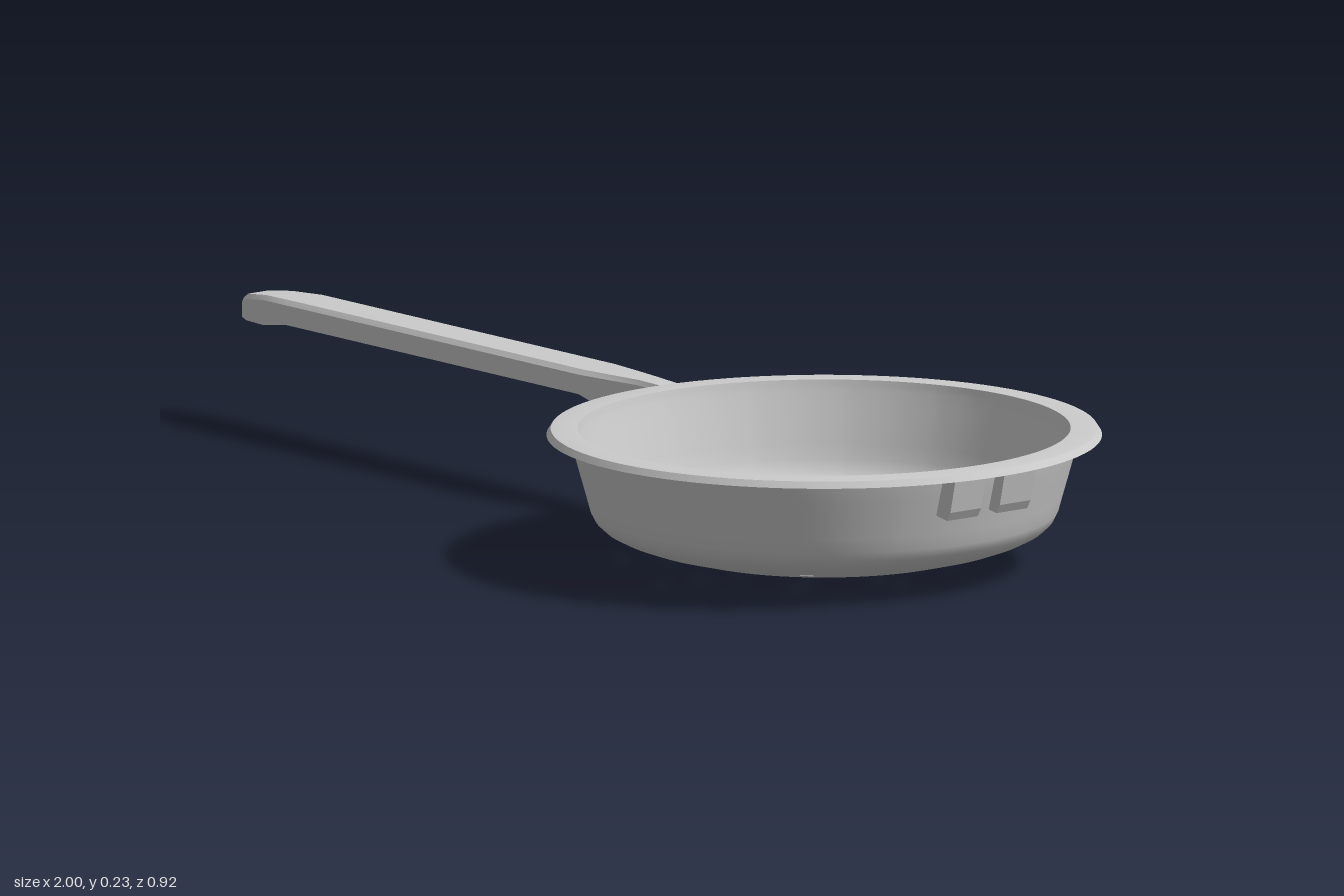
import * as THREE from 'three';
import { toCreasedNormals, mergeVertices } from 'three/addons/utils/BufferGeometryUtils.js';

const grey = new THREE.MeshStandardMaterial({ color: 0xcccccc, side: THREE.DoubleSide });

function addMesh(parent, name, geometry) {
  const mesh = new THREE.Mesh(geometry, grey);
  mesh.name = name;
  parent.add(mesh);
  return mesh;
}

function geometryFrom(positions, index) {
  const g = new THREE.BufferGeometry();
  g.setAttribute('position', new THREE.Float32BufferAttribute(positions, 3));
  g.setIndex(index);
  g.computeVertexNormals();
  return g;
}

// Bowl rows from the centre outwards: outer radius, outer y, inner radius, inner y
const FLOOR = [[0, 0], [0.04, 0.001], [0.075, 0.003], [0.1, 0.005], [0.145, 0.009], [0.185, 0.014],
  [0.215, 0.019], [0.255, 0.027], [0.285, 0.035], [0.315, 0.043]];
const WALL = [[0.345, 0.054], [0.366, 0.065], [0.38, 0.078], [0.388, 0.094], [0.395, 0.12],
  [0.404, 0.152], [0.413, 0.185], [0.42, 0.21], [0.422, 0.222]];
const ROWS = [
  ...FLOOR.map(([r, y]) => [r, y, r, y + 0.012]),
  ...WALL.map(([r, y], i) => [r, y, r - Math.min(0.015, 0.005 + i * 0.005), y + Math.max(0.003, 0.012 - i * 0.001)]),
];
const TICK_ROW = 2;
const SLOT_ROWS = [4, 6, 8];
const SPOKES = 16;
const FILL = 4; // columns between one slot direction and the next

// Each direction owns a narrow column of constant width, which can be left open
function columnAngle(radius, spoke, column) {
  const halfWidth = radius < 0.12 ? 0.007 : 0.011;
  const step = (Math.PI * 2) / SPOKES;
  const d = radius > 0 ? Math.min(Math.asin(Math.min(1, halfWidth / radius)), 0.12) : 0.1;
  if (column === 0) return spoke * step - d;
  return spoke * step + d + ((column - 1) / FILL) * (step - 2 * d);
}

function isOpen(row, spoke, column) {
  if (column !== 0) return false;
  return row === TICK_ROW || (spoke % 2 === 0 && SLOT_ROWS.includes(row));
}

function buildBowl(parent) {
  const perSpoke = FILL + 1;
  const cols = SPOKES * perSpoke;
  const inner = [], outer = [], innerIdx = [], outerIdx = [], wallPos = [], wallIdx = [];
  for (const [ro, yo, ri, yi] of ROWS) {
    for (let j = 0; j < cols; j++) {
      const a = columnAngle(ro, Math.floor(j / perSpoke), j % perSpoke);
      outer.push(ro * Math.cos(a), yo, ro * Math.sin(a));
      inner.push(ri * Math.cos(a), yi, ri * Math.sin(a));
    }
  }
  const at = (list, i) => list.slice(i * 3, i * 3 + 3);
  for (let i = 0; i < ROWS.length - 1; i++) {
    for (let j = 0; j < cols; j++) {
      const next = (j + 1) % cols;
      const loop = [i * cols + j, i * cols + next, (i + 1) * cols + next, (i + 1) * cols + j];
      const [a, b, c, d] = loop;
      if (!isOpen(i, Math.floor(j / perSpoke), j % perSpoke)) {
        innerIdx.push(a, b, c, a, c, d);
        outerIdx.push(a, c, b, a, d, c);
        continue;
      }
      // Sides of the open slot through the sheet
      loop.forEach((p, k) => {
        const q = loop[(k + 1) % 4];
        const n = wallPos.length / 3;
        wallPos.push(...at(inner, p), ...at(inner, q), ...at(outer, q), ...at(outer, p));
        wallIdx.push(n, n + 1, n + 2, n, n + 2, n + 3);
      });
    }
  }
  addMesh(parent, 'bowlInside', geometryFrom(inner, innerIdx));
  addMesh(parent, 'bowlOutside', geometryFrom(outer, outerIdx));
  addMesh(parent, 'drainSlotEdges', geometryFrom(wallPos, wallIdx));

  const rim = [[0.42, 0.22], [0.46, 0.22], [0.453, 0.231], [0.445, 0.232], [0.408, 0.232], [0.406, 0.222]]
    .map(([x, y]) => new THREE.Vector2(x, y));
  addMesh(parent, 'rim', toCreasedNormals(new THREE.LatheGeometry(rim, 96), 0.5));
}

// Lofted handle, a channel open towards the bottom
function buildHandle(parent) {
  // x, half width, bottom y, top y, groove depth
  const stations = [
    [-1, 0.022, 0.18, 0.212, 0.004], [-0.985, 0.026, 0.177, 0.221, 0.012], [-0.93, 0.034, 0.178, 0.228, 0.022],
    [-0.86, 0.043, 0.19, 0.231, 0.025], [-0.1, 0.043, 0.19, 0.231, 0.025], [-0.03, 0.034, 0.168, 0.231, 0.04],
    [0.03, 0.025, 0.165, 0.231, 0.04], [0.085, 0.021, 0.165, 0.229, 0.02], [0.125, 0.021, 0.168, 0.226, 0.004],
  ];
  const pos = [], idx = [];
  for (const [x, w, yb, yt, depth] of stations) {
    const top = w * 0.82, lip = w * 0.68, roof = w * 0.55;
    const section = [[-w, yb], [-w, yt - 0.008], [-top, yt], [top, yt], [w, yt - 0.008], [w, yb],
      [lip, yb], [roof, yb + depth], [-roof, yb + depth], [-lip, yb]];
    section.forEach(([z, y]) => pos.push(x, y, z));
  }
  const n = 10, last = (stations.length - 1) * n;
  for (let i = 0; i < stations.length - 1; i++) {
    for (let k = 0; k < n; k++) {
      const a = i * n + k, b = i * n + ((k + 1) % n), c = b + n, d = a + n;
      idx.push(a, c, b, a, d, c);
    }
  }
  // End caps: two side walls and the roof between them
  const cap = [[0, 1, 8], [0, 8, 9], [1, 2, 8], [2, 3, 8], [3, 7, 8], [3, 4, 7], [4, 5, 7], [5, 6, 7]];
  for (const [a, b, c] of cap) idx.push(a, b, c, last + a, last + c, last + b);
  const mesh = addMesh(parent, 'handle', toCreasedNormals(geometryFrom(pos, idx), 0.4));
  mesh.position.z = -0.044;
}

// Small bracket cut from a side outline in x and y, spanning z0 to z1
function buildTab(parent, name, outline, z0, z1) {
  const shape = new THREE.Shape(outline.map(([x, y]) => new THREE.Vector2(x, y)));
  const g = new THREE.ExtrudeGeometry(shape, { depth: z1 - z0, bevelEnabled: false });
  g.translate(0, 0, z0);
  addMesh(parent, name, g);
}

export function createModel() {
  const model = new THREE.Group();
  model.name = 'strainerPan';

  const bowl = new THREE.Group();
  bowl.name = 'bowl';
  bowl.position.set(0.54, 0.003, 0);
  bowl.scale.y = 0.987;
  buildBowl(bowl);
  model.add(bowl);

  buildHandle(model);

  // Pair of rest hooks opposite the handle
  const hook = [[0.935, 0.155], [0.963, 0.15], [0.972, 0.165], [0.985, 0.221], [0.95, 0.221]];
  buildTab(model, 'restHookLeft', hook, 0.02, 0.086);
  buildTab(model, 'restHookRight', hook, -0.086, -0.02);

  // Bracket holding the handle
  const bracket = [[0.155, 0.118], [0.125, 0.12], [0.108, 0.132], [0.088, 0.221], [0.13, 0.221]];
  buildTab(model, 'handleBracket', bracket, -0.085, -0.004);

  return model;
}
